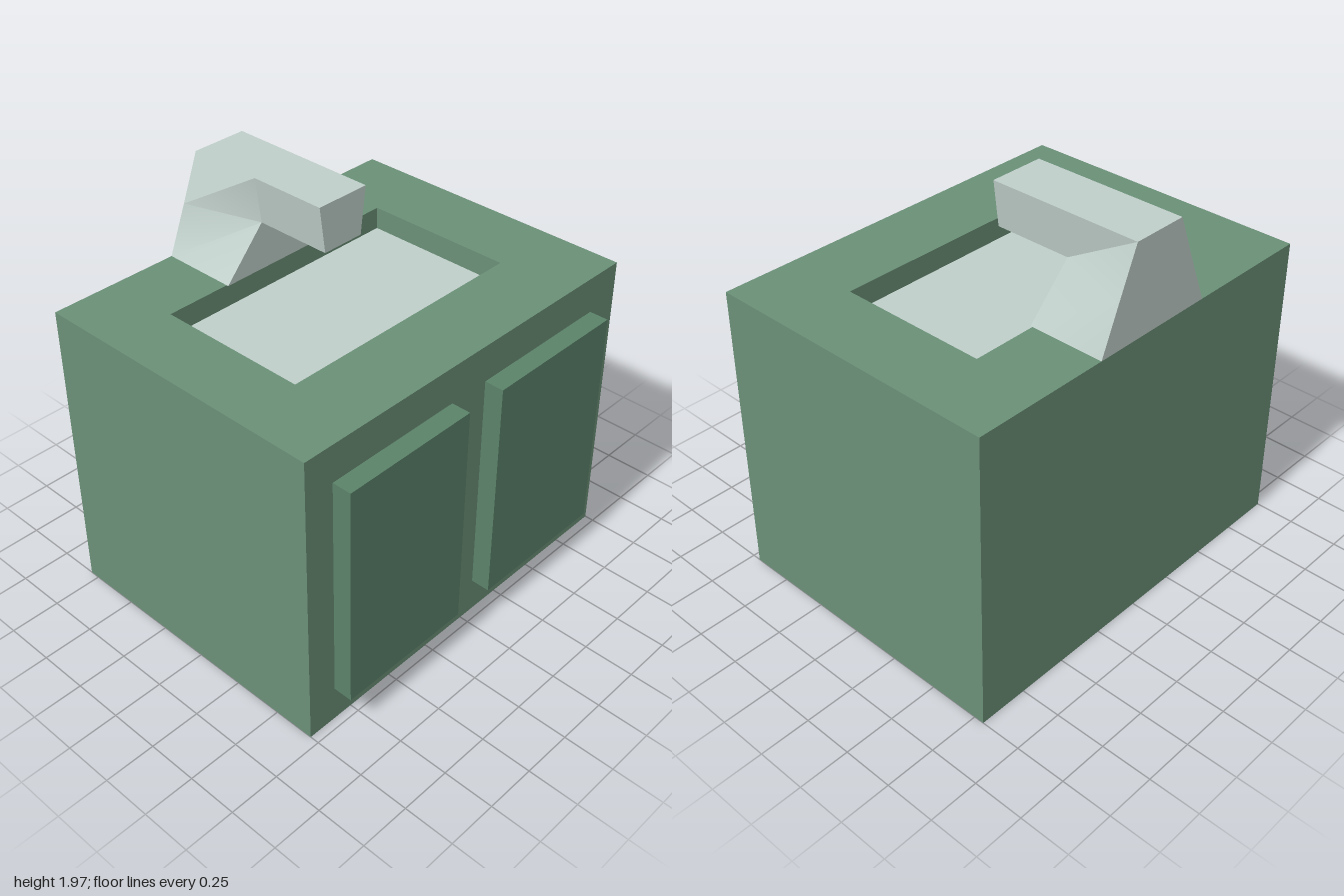
import * as THREE from 'three';
import { toCreasedNormals } from 'three/addons/utils/BufferGeometryUtils.js';

// Mesh from four-cornered faces, corners counter-clockwise seen from outside
function quadMesh(name, quads, material) {
  const pos = [];
  for (const [a, b, c, d] of quads) pos.push(...a, ...b, ...c, ...a, ...c, ...d);
  const geo = new THREE.BufferGeometry();
  geo.setAttribute('position', new THREE.Float32BufferAttribute(pos, 3));
  const mesh = new THREE.Mesh(toCreasedNormals(geo, 0.5), material);
  mesh.name = name;
  return mesh;
}

// Walls joining two closed loops of equal length
const bridge = (from, to) => from.map((p, i) => {
  const j = (i + 1) % from.length;
  return [to[i], p, from[j], to[j]];
});

// Horizontal rectangular loop at height y
const ring = (x0, x1, z0, z1, y) => [[x0, y, z1], [x1, y, z1], [x1, y, z0], [x0, y, z0]];

export function createModel() {
  const group = new THREE.Group();
  const mat = (color) => new THREE.MeshStandardMaterial({ color });
  const green = mat(0x6b9078), doorGreen = mat(0x5c836a), pale = mat(0xc0cfca);

  // Cabinet: base, sides, worktop and basin walls in one skin
  const floorY = 1.395;
  const basin = [-0.67, 0.635, -0.43, 0.325];
  const rings = [
    ring(-1, 1, -0.8, 0.705, 0),
    ring(-1, 1, -0.8, 0.705, 1.505),
    ring(...basin, 1.505),
    ring(...basin, floorY),
  ];
  const skin = [[...rings[0]].reverse()];
  for (let i = 0; i < 3; i++) skin.push(...bridge(rings[i], rings[i + 1]));
  group.add(quadMesh('cabinet', skin, green));

  // Basin floor
  group.add(quadMesh('basinFloor', [rings[3]], pale));

  // Doors
  for (const [name, x0, x1] of [['rightDoor', -0.85, -0.14], ['leftDoor', 0.075, 0.825]]) {
    const door = new THREE.Mesh(new THREE.BoxGeometry(x1 - x0, 1.14, 0.095), doorGreen);
    door.name = name;
    door.position.set((x0 + x1) / 2, 0.752, 0.7525);
    group.add(door);
  }

  // Tap: flared post with a tapered spout reaching over the basin
  const section = (z, midL, midR) => [
    [-0.345, 1.505, z], [0.31, 1.505, z], [midR, 1.737, z],
    [0.12, 1.965, z], [-0.16, 1.965, z], [midL, 1.737, z],
  ];
  const back = section(-0.8, -0.25, 0.215);
  const front = section(-0.42, -0.13, 0.09);
  const tip = section(-0.03, -0.13, 0.09).slice(2);
  const lower = (s) => [s[0], s[1], s[2], s[5]];
  const upper = (s) => s.slice(2);
  group.add(quadMesh('tap', [
    ...bridge(back, front),
    lower(back).reverse(), upper(back).reverse(),
    lower(front),
    ...bridge(upper(front), tip),
    tip,
  ], pale));

  return group;
}
